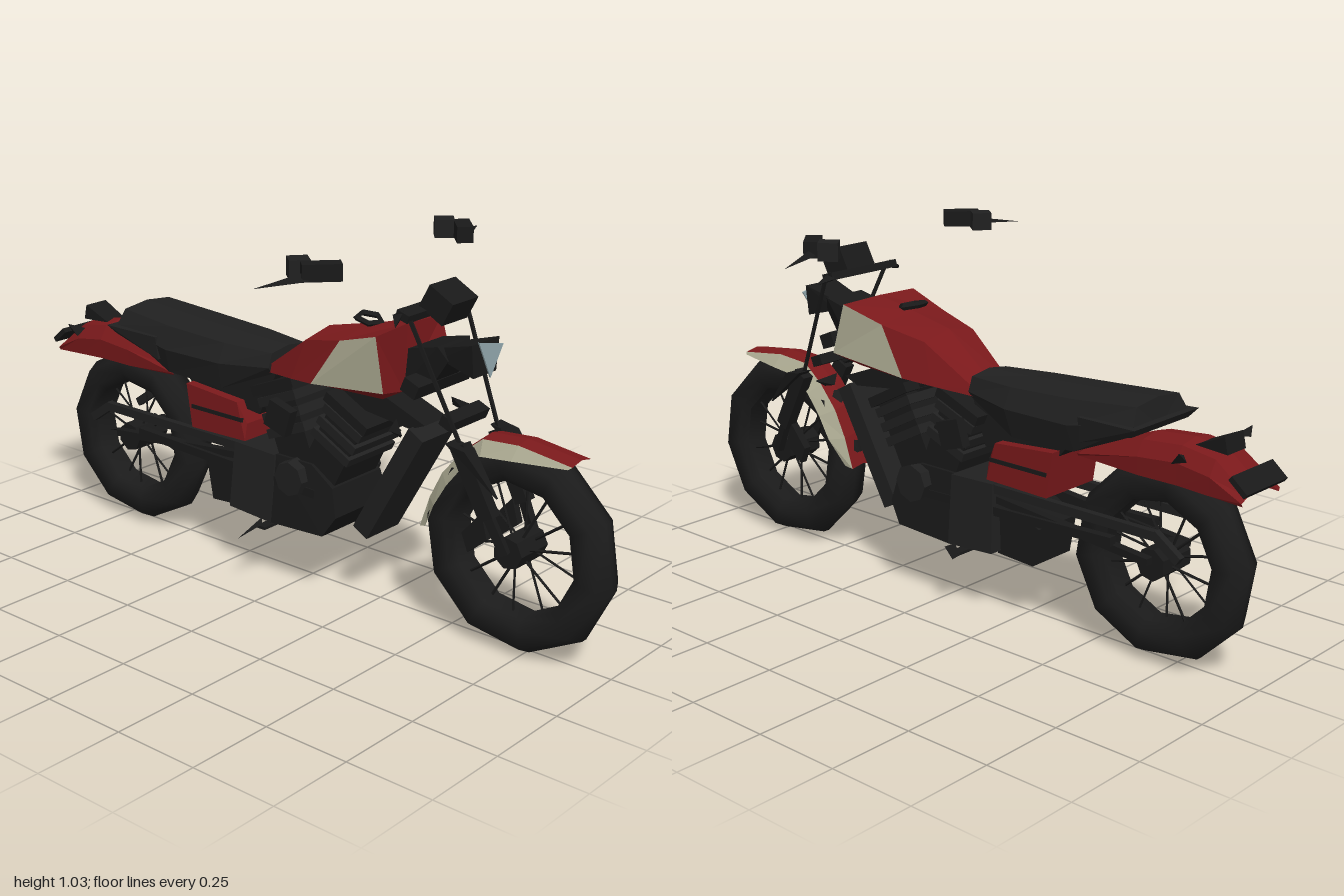
import * as THREE from 'three';
import { ConvexGeometry } from 'three/addons/geometries/ConvexGeometry.js';

const mat = (name, color, flatShading = true) => {
  const m = new THREE.MeshStandardMaterial({ color, flatShading, side: THREE.DoubleSide });
  m.name = name;
  return m;
};

export function createModel() {
  const black = mat('black', 0x191919), charcoal = mat('charcoal', 0x202020), rubber = mat('rubber', 0x1b1b1b, false);
  const red = mat('red', 0x7a191b), cream = mat('cream', 0xaaa890), glass = mat('lens blue', 0x93a9ae);
  const model = new THREE.Group();
  model.name = 'motorcycle';

  const add = (name, geo, m, parent = model) => {
    const mesh = new THREE.Mesh(geo, m);
    mesh.name = name;
    parent.add(mesh);
    return mesh;
  };
  const box = (name, size, pos, m, tilt = 0) => {
    const b = add(name, new THREE.BoxGeometry(...size), m);
    b.position.set(...pos);
    b.rotation.x = tilt;
    return b;
  };
  // Rectangular bar from point a to point b
  const beam = (name, a, b, w, h, m) => {
    const p = new THREE.Vector3(...a), q = new THREE.Vector3(...b);
    const mesh = add(name, new THREE.BoxGeometry(w, h, p.distanceTo(q)), m);
    mesh.position.copy(p).add(q).multiplyScalar(0.5);
    mesh.lookAt(q);
    return mesh;
  };
  const hull = (name, pts, m) => add(name, new ConvexGeometry(pts.map(p => new THREE.Vector3(...p))), m);
  // Solid from a side outline of [z, y, halfWidth]
  const slab = (name, outline, m, x = 0) =>
    hull(name, outline.flatMap(([z, y, w]) => [[x + w, y, z], [x - w, y, z]]), m);

  // Mirrored half sections (top centre outward to the edge), joined front to back
  const loft = (name, halves, mats, pick, caps = false) => {
    const rings = halves.map(h => [...h.slice(1).reverse().map(([x, y, z]) => [-x, y, z]), ...h]);
    const n = rings[0].length, pos = [], groups = [];
    const tri = (a, b, c, k) => { groups.push([pos.length / 3, k]); pos.push(...a, ...b, ...c); };
    for (let i = 0; i < rings.length - 1; i++) for (let j = 0; j < n - 1; j++) {
      const [a, b, c, d] = [rings[i][j], rings[i][j + 1], rings[i + 1][j], rings[i + 1][j + 1]];
      const k = pick(i, Math.abs(j - (n - 2) / 2) - 0.5);
      tri(a, b, c, k);
      tri(b, d, c, k);
    }
    if (caps) for (let j = 1; j < n - 1; j++) {
      const f = rings[0], e = rings[rings.length - 1];
      tri(f[0], f[j + 1], f[j], 0);
      tri(e[0], e[j], e[j + 1], 0);
    }
    const g = new THREE.BufferGeometry();
    g.setAttribute('position', new THREE.Float32BufferAttribute(pos, 3));
    g.computeVertexNormals();
    groups.forEach(([s, k]) => g.addGroup(s, 3, k));
    return add(name, g, mats);
  };

  // Wheels: ten-sided tyre, hub and spokes
  const wheel = (name, z, y, r) => {
    const w = new THREE.Group();
    w.name = name;
    w.position.set(0, y, z);
    const prof = [[r - 0.1, -0.035], [r - 0.075, -0.052], [r - 0.025, -0.057], [r, -0.01], [r, 0.01],
      [r - 0.025, 0.057], [r - 0.075, 0.052], [r - 0.1, 0.035], [r - 0.1, -0.035]];
    const tyre = add('tyre', new THREE.LatheGeometry(prof.map(p => new THREE.Vector2(...p)), 10), rubber, w);
    tyre.rotation.set(0.15, 0, Math.PI / 2);
    const hub = add('hub', new THREE.CylinderGeometry(0.045, 0.045, 0.12, 7), black, w);
    hub.rotation.z = Math.PI / 2;
    for (let i = 0; i < 14; i++) {
      const a = (i + 0.4) / 14 * Math.PI * 2, s = i % 2 ? 0.03 : -0.03;
      const c = Math.cos(a), d = Math.sin(a);
      const spoke = add('spoke', new THREE.CylinderGeometry(0.004, 0.004, r - 0.1, 4), black, w);
      spoke.position.set(s * 0.5, d * (r - 0.09) / 2, c * (r - 0.09) / 2);
      spoke.quaternion.setFromUnitVectors(new THREE.Vector3(0, 1, 0), new THREE.Vector3(-s * 2, d, c).normalize());
    }
    model.add(w);
  };
  wheel('frontWheel', 0.71, 0.28, 0.288);
  wheel('rearWheel', -0.695, 0.27, 0.272);

  // Fuel tank with cream front side panels
  loft('fuelTank', [
    [[0, 0.81, 0.33], [0.142, 0.805, 0.335], [0.152, 0.66, 0.37], [0.09, 0.62, 0.32], [0, 0.62, 0.32]],
    [[0, 0.785, 0.2], [0.125, 0.765, 0.2], [0.138, 0.63, 0.11], [0.08, 0.61, 0.11], [0, 0.61, 0.11]],
    [[0, 0.755, 0.06], [0.1, 0.735, 0.06], [0.115, 0.62, 0.02], [0.07, 0.605, 0.02], [0, 0.605, 0.02]],
    [[0, 0.63, -0.1], [0.07, 0.625, -0.1], [0.075, 0.605, -0.1], [0.05, 0.6, -0.1], [0, 0.6, -0.1]],
  ], [red, cream], (i, j) => (i === 0 && j === 1 ? 1 : 0), true);
  const cap = add('fuelCap', new THREE.TorusGeometry(0.037, 0.009, 4, 5), black);
  cap.position.set(0, 0.8, 0.2);
  cap.rotation.x = -Math.PI / 2 + 0.22;

  // Front fender: red crown, cream flanks drawn in toward the axle
  loft('frontFender', [[0.88, 0.56, 0.95], [0.72, 0.58, 0.86], [0.61, 0.572, 0.85], [0.545, 0.52, 0.85],
    [0.485, 0.45, 0.84], [0.445, 0.37, 0.86], [0.415, 0.28, 0.92]].map(([z, y, k]) => [
    [0, y, z], [0.042, y - 0.008, z], [k > 0.9 ? 0.05 : 0.074, 0.28 + (y - 0.28) * k, 0.71 + (z - 0.71) * k]]),
  [red, cream], (i, j) => (j > 0 ? 1 : 0));

  // Seat and passenger pad
  loft('seat', [
    [[0, 0.67, -0.09], [0.07, 0.66, -0.09], [0.085, 0.62, -0.09], [0.07, 0.6, -0.09], [0, 0.6, -0.09]],
    [[0, 0.675, -0.25], [0.095, 0.665, -0.25], [0.122, 0.61, -0.25], [0.1, 0.53, -0.26], [0, 0.53, -0.26]],
    [[0, 0.685, -0.46], [0.1, 0.675, -0.46], [0.125, 0.61, -0.46], [0.1, 0.535, -0.47], [0, 0.535, -0.47]],
    [[0, 0.7, -0.66], [0.09, 0.69, -0.66], [0.115, 0.645, -0.67], [0.09, 0.62, -0.67], [0, 0.62, -0.67]],
  ], [charcoal], () => 0, true);
  slab('passengerPad', [[-0.5, 0.64, 0.125], [-0.69, 0.645, 0.138], [-0.67, 0.62, 0.12], [-0.5, 0.57, 0.115]], charcoal);

  // Rear fender, tail and side covers
  loft('rearFender', [[-0.47, 0.54, 0.02], [-0.66, 0.61, 0.1], [-0.78, 0.62, 0.11], [-0.88, 0.605, 0.1], [-0.975, 0.53, 0.03]]
    .map(([z, y, d]) => [[0, y, z], [0.06, y - 0.01, z], [0.085, y - Math.min(0.05, d * 0.7), z], [0.08, y - d, z]]), [red], () => 0);
  box('tailPlate', [0.18, 0.015, 0.06], [0, 0.55, -0.965], black, -0.7);
  slab('tailLight', [[-0.8, 0.61, 0.035], [-0.89, 0.65, 0.04], [-0.9, 0.605, 0.04]], black);
  slab('batteryBox', [[-0.17, 0.44, 0.09], [-0.2, 0.5, 0.1], [-0.4, 0.515, 0.1], [-0.38, 0.385, 0.1], [-0.17, 0.39, 0.1]], red);
  box('batteryStrap', [0.204, 0.012, 0.2], [0, 0.45, -0.28], black);
  slab('underSeatFrame', [[-0.08, 0.61, 0.06], [-0.44, 0.55, 0.07], [-0.4, 0.5, 0.07], [-0.14, 0.47, 0.07]], black);

  // Headlight and lens
  slab('headlightBody', [[0.5, 0.75, 0.05], [0.48, 0.79, 0.07], [0.39, 0.77, 0.075], [0.38, 0.67, 0.075], [0.46, 0.69, 0.05]], black);
  slab('headlightRim', [[0.58, 0.81, 0.06], [0.58, 0.72, 0.05], [0.47, 0.75, 0.045], [0.47, 0.78, 0.045]], black);
  hull('headlightLens', [0.584, 0.588].flatMap(z => [[-0.04, 0.815, z], [0.068, 0.79, z], [0.015, 0.71, z]]), glass);
  box('forkYoke', [0.24, 0.04, 0.05], [0, 0.68, 0.43], black, 0.4);

  // Instrument box and handlebar
  box('instrument', [0.11, 0.07, 0.085], [0, 0.893, 0.46], black, 0.5);
  box('handlebar', [0.26, 0.022, 0.04], [0, 0.87, 0.41], black, 0.3);
  box('lowerYoke', [0.16, 0.03, 0.04], [0, 0.595, 0.52], black, 0.4);

  // Engine
  slab('crankcase', [[0.18, 0.25, 0.115], [0.16, 0.33, 0.105], [0.08, 0.38, 0.1], [-0.06, 0.38, 0.1], [-0.06, 0.18, 0.125], [0.14, 0.19, 0.125]], black);
  slab('gearbox', [[-0.05, 0.38, 0.11], [-0.2, 0.385, 0.11], [-0.21, 0.19, 0.125], [-0.05, 0.18, 0.125]], charcoal);
  slab('sump', [[-0.2, 0.35, 0.085], [-0.34, 0.28, 0.08], [-0.32, 0.17, 0.08], [-0.2, 0.18, 0.085]], black);
  for (const [name, top, base] of [['frontCylinder', [0.2, 0.55], [0.08, 0.32]], ['rearCylinder', [-0.06, 0.57], [0.04, 0.32]]]) {
    const at = t => [0, base[1] + (top[1] - base[1]) * t, base[0] + (top[0] - base[0]) * t];
    beam(name, at(0), at(1), 0.18, 0.12, black);
    for (let i = 0; i < 3; i++) beam('coolingFin', at(0.5 + i * 0.17), at(0.6 + i * 0.17), 0.2, 0.145, charcoal);
    beam('rockerCover', at(0.97), at(1.08), 0.21, 0.16, black);
  }
  slab('frameSpine', [[0.43, 0.56, 0.05], [0.3, 0.61, 0.05], [0.12, 0.6, 0.05], [0.13, 0.57, 0.05], [0.38, 0.54, 0.05]], black);
  beam('radiator', [0, 0.535, 0.415], [0, 0.21, 0.23], 0.14, 0.055, charcoal);
  box('footBar', [0.27, 0.008, 0.03], [0, 0.16, -0.08], black);

  // Paired parts, mirrored left and right
  for (const s of [-1, 1]) {
    beam('forkLeg', [s * 0.085, 0.55, 0.57], [s * 0.08, 0.37, 0.665], 0.035, 0.045, black);
    beam('forkFoot', [s * 0.08, 0.37, 0.665], [s * 0.07, 0.28, 0.71], 0.02, 0.025, black);
    beam('forkTube', [s * 0.12, 0.86, 0.43], [s * 0.085, 0.55, 0.57], 0.007, 0.01, black);
    slab('brakeCaliper', [[0.64, 0.38, 0.012], [0.58, 0.31, 0.012], [0.6, 0.26, 0.012], [0.66, 0.31, 0.012]], black, s * 0.07);
    slab('forkGuard', [[0.55, 0.56, 0.025], [0.61, 0.55, 0.022], [0.7, 0.44, 0.004]], black, s * 0.1);
    beam('swingArm', [s * 0.085, 0.34, -0.18], [s * 0.085, 0.29, -0.71], 0.025, 0.02, black);
    beam('upperStay', [s * 0.095, 0.37, -0.18], [s * 0.095, 0.37, -0.74], 0.02, 0.025, charcoal);
    beam('stayEnd', [s * 0.095, 0.375, -0.73], [s * 0.095, 0.32, -0.81], 0.02, 0.025, charcoal);
    beam('exhaustPipe', [s * 0.1, 0.3, 0.1], [s * 0.095, 0.32, -0.6], 0.025, 0.025, black);
    const cover = add('engineCover', new THREE.CylinderGeometry(0.05, 0.055, 0.04, 8), charcoal);
    cover.position.set(s > 0 ? 0.12 : -0.11, 0.33, s > 0 ? 0.08 : 0.02);
    cover.rotation.z = Math.PI / 2;
    box('airIntake', [0.03, 0.08, 0.08], [s * 0.115, 0.5, s > 0 ? -0.06 : -0.02], black, 0.3);
    hull('sideStand', [[s * 0.13, 0.19, -0.08], [s * 0.13, 0.16, -0.1], [s * 0.15, 0.18, -0.06], [s * (s < 0 ? 0.22 : 0.15), 0.15, -0.09]], black);
    hull('tailIndicator', [[s * 0.11, 0.605, -0.82], [s * 0.16, 0.625, -0.84], [s * 0.15, 0.59, -0.81], [s * 0.14, 0.6, -0.85]], black);
    hull('frontIndicator', [[s * 0.12, 0.59, 0.39], [s * 0.14, 0.55, 0.42], [s * 0.16, 0.565, 0.44], [s * 0.14, 0.56, 0.38]], black);
    hull('barSpike', [[s * 0.12, 0.885, 0.41], [s * 0.12, 0.86, 0.4], [s * 0.13, 0.87, 0.38], [s * 0.17, 0.85, 0.42]], black);

    // Handlebar grip, control block and lever
    beam('grip', [s * 0.26, 1.0, 0.32], [s * 0.335, 1.0, 0.25], 0.045, 0.045, black);
    const block = box('controlBlock', [0.055, 0.05, 0.055], [s * 0.305, 1.0, 0.215], charcoal);
    block.rotation.y = s * 0.7;
    hull('lever', [[s * 0.33, 1.0, 0.26], [s * 0.34, 0.98, 0.28], [s * 0.33, 0.985, 0.24], [s * 0.47, 0.975, 0.21]], black);
  }
  return model;
}
